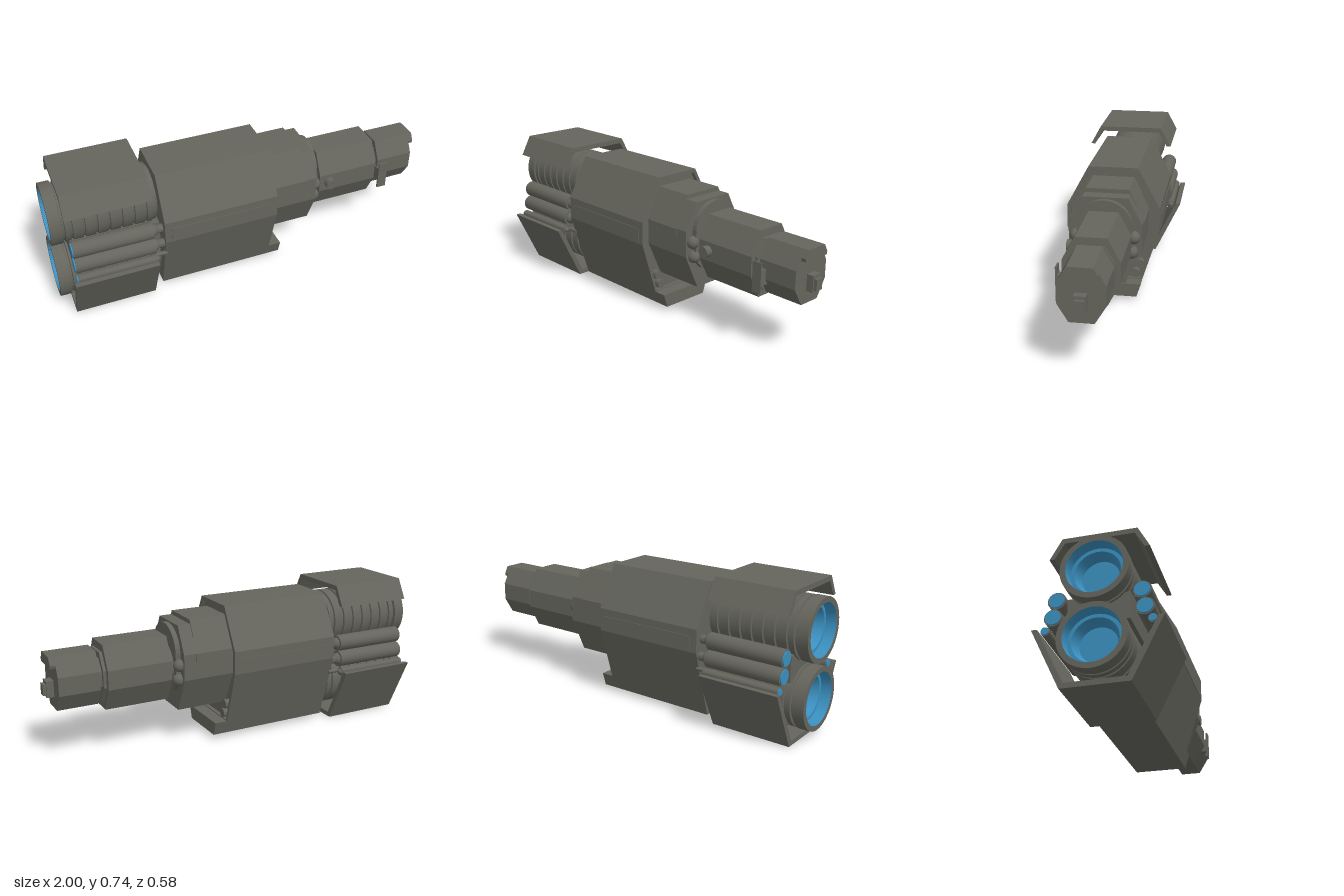
import * as THREE from 'three';
import { toCreasedNormals } from 'three/addons/utils/BufferGeometryUtils.js';

const hullGrey = new THREE.MeshStandardMaterial({ color: 0x65655d });
hullGrey.name = 'hull grey';
const glowBlue = new THREE.MeshStandardMaterial({ color: 0x3a8fbf });
glowBlue.name = 'engine blue';

export function createModel() {
  const root = new THREE.Group();
  root.name = 'spacecraft';

  const add = (name, geo, mat = hullGrey, x = 0, y = 0, z = 0) => {
    const mesh = new THREE.Mesh(geo, mat);
    mesh.name = name;
    mesh.position.set(x, y, z);
    root.add(mesh);
    return mesh;
  };

  // Mirrors a half outline of [z, y] points into a closed loop
  const mirror = (half) => [...half, ...half.map(([z, y]) => [-z, y]).reverse()];
  const toVectors = (pts) => pts.map(([z, y]) => new THREE.Vector2(-z, y));

  // Extrudes a [z, y] outline along x, optionally with a hole
  const prism = (name, pts, x0, x1, hole) => {
    const shape = new THREE.Shape(toVectors(pts));
    if (hole) shape.holes.push(new THREE.Path(toVectors(hole)));
    const geo = new THREE.ExtrudeGeometry(shape, { depth: x1 - x0, bevelEnabled: false });
    geo.rotateY(Math.PI / 2);
    return add(name, geo, hullGrey, x0);
  };

  // Eight-sided outline from top/bottom heights and shoulder points
  const octagon = (topZ, topY, sideZ, upperY, lowerY, bottomZ, bottomY) =>
    mirror([[topZ, topY], [sideZ, upperY], [sideZ, lowerY], [bottomZ, bottomY]]);

  const rod = (name, r, x0, x1, y, z, mat = hullGrey, sides = 16) => {
    const geo = new THREE.CylinderGeometry(r, r, x1 - x0, sides).rotateZ(Math.PI / 2);
    return add(name, toCreasedNormals(geo, 0.6), mat, (x0 + x1) / 2, y, z);
  };

  const box = (name, x0, x1, y0, y1, z0, z1) =>
    add(name, new THREE.BoxGeometry(x1 - x0, y1 - y0, z1 - z0), hullGrey,
      (x0 + x1) / 2, (y0 + y1) / 2, (z0 + z1) / 2);

  const ball = (name, r, x, y, z) => add(name, new THREE.SphereGeometry(r, 16, 10), hullGrey, x, y, z);

  // Main hull with a raised rim around its front face
  const hullOutline = octagon(0.125, 0.695, 0.237, 0.487, 0.37, 0.13, 0.025);
  const rimHole = octagon(0.115, 0.676, 0.217, 0.482, 0.375, 0.142, 0.1);
  prism('mainHull', hullOutline, -0.48, 0.085);
  prism('hullRim', hullOutline, 0.085, 0.105, rimHole);
  prism('chinPlate', mirror([[0.152, 0.095], [0.13, 0.025]]), 0.105, 0.17);

  // Middle section with cowl and collar
  prism('middleSection', octagon(0.11, 0.622, 0.178, 0.49, 0.36, 0.097, 0.184), 0.08, 0.35);
  prism('middleCowl', mirror([[0.105, 0.643], [0.145, 0.565], [0.127, 0.56], [0.095, 0.615]]), 0.085, 0.285);
  const collar = mirror([
    ...Array.from({ length: 9 }, (_, i) => {
      const a = (i + 0.5) / 9 * Math.PI / 2;
      return [0.135 * Math.sin(a), 0.48 + 0.135 * Math.cos(a)];
    }),
    [0.135, 0.34], [0.09, 0.29],
  ]);
  prism('collar', collar, 0.35, 0.375);
  rod('frontNeck', 0.11, 0.37, 0.4, 0.41, 0, hullGrey, 32);

  // Forward module and its stepped end
  prism('forwardModule', octagon(0.072, 0.567, 0.132, 0.455, 0.36, 0.072, 0.244), 0.395, 0.72);
  prism('forwardStep', octagon(0.06, 0.53, 0.108, 0.45, 0.365, 0.06, 0.28), 0.72, 0.735);
  prism('noseNeck', octagon(0.05, 0.5, 0.09, 0.44, 0.37, 0.05, 0.31), 0.735, 0.75);

  // Nose module, visor lip and docking probe
  prism('noseModule', octagon(0.056, 0.54, 0.107, 0.45, 0.36, 0.056, 0.275), 0.75, 0.95);
  prism('noseVisor', mirror([[0.056, 0.54], [0.076, 0.503], [0.073, 0.488]]), 0.95, 0.975);
  box('dockingProbe', 0.95, 0.985, 0.335, 0.415, -0.027, 0.027);
  box('probeTip', 0.985, 1.0, 0.345, 0.4, -0.02, 0.02);

  // Sensor knob and nose-side antenna on one side only
  const knob = new THREE.CylinderGeometry(0.028, 0.028, 0.06, 16).rotateX(Math.PI / 2);
  add('sensorKnob', toCreasedNormals(knob, 0.6), hullGrey, 0.45, 0.41, 0.135);
  box('antennaArm', 0.745, 0.785, 0.335, 0.41, 0.09, 0.145);
  box('antennaBlade', 0.74, 0.79, 0.3, 0.45, 0.138, 0.146);

  // Rear armour: roof cover and keel cover
  prism('roofArmour', mirror([[0.172, 0.737], [0.228, 0.635], [0.205, 0.635], [0.16, 0.712]]), -0.94, -0.53);
  prism('keelArmour', mirror([[0.137, 0.025], [0.265, 0.29], [0.292, 0.29], [0.154, 0]]), -0.94, -0.53);
  box('engineSpine', -0.92, -0.48, 0.3, 0.43, -0.14, 0.14);

  // Ringed engines with blue nozzle interiors
  const lathe = (pts) => toCreasedNormals(
    new THREE.LatheGeometry(pts.map(([r, d]) => new THREE.Vector2(r, d)), 40).rotateZ(Math.PI / 2), 0.5);
  const shell = [[0.125, 0.47], [0.132, 0.49], [0.145, 0.49], [0.145, 0.51], [0.152, 0.51]];
  for (let i = 0; i < 7; i++) {
    const d = 0.54 + i * 0.06;
    shell.push([0.152, d - 0.006], [0.142, d - 0.004], [0.142, d + 0.004], [0.152, d + 0.006]);
  }
  shell.push([0.152, 0.93], [0.14, 0.932], [0.14, 0.942], [0.154, 0.944], [0.154, 1], [0.128, 1]);
  const bell = [[0.128, 1], [0.122, 0.95], [0.105, 0.95], [0.085, 0.9], [0, 0.9]];
  for (const y of [0.528, 0.2]) {
    add('engineShell', lathe(shell), hullGrey, 0, y);
    add('engineNozzle', lathe(bell), glowBlue, 0, y);
  }

  for (const s of [-1, 1]) {
    // Side tanks with blue rear caps: [radius, y, z]
    for (const [r, y, z] of [[0.042, 0.432, 0.19], [0.042, 0.35, 0.203], [0.021, 0.288, 0.236]]) {
      rod('sideTank', r, -0.92, -0.53, y, s * z);
      rod('tankCap', r * 0.85, -0.926, -0.92, y, s * z, glowBlue);
      ball('tankDome', r * 0.75, -0.53, y, s * z);
      rod('tankPipe', r * 0.5, -0.53, -0.47, y, s * Math.min(z, 0.21));
    }

    // Long panels on the hull flanks
    box('flankPanel', -0.445, 0.075, 0.372, 0.45, s * 0.2385 - 0.002, s * 0.2385 + 0.002);
    box('middleSidePanel', 0.105, 0.285, 0.45, 0.49, s * 0.178 - 0.004, s * 0.178 + 0.004);

    // Small thrusters on the front faces
    ball('upperThruster', 0.032, 0.358, 0.43, s * 0.14);
    ball('lowerThruster', 0.032, 0.358, 0.355, s * 0.13);
    rod('hullThruster', 0.023, 0.08, 0.115, 0.187, s * 0.139);
    rod('chinThruster', 0.023, 0.08, 0.115, 0.132, s * 0.117);
  }
  return root;
}
